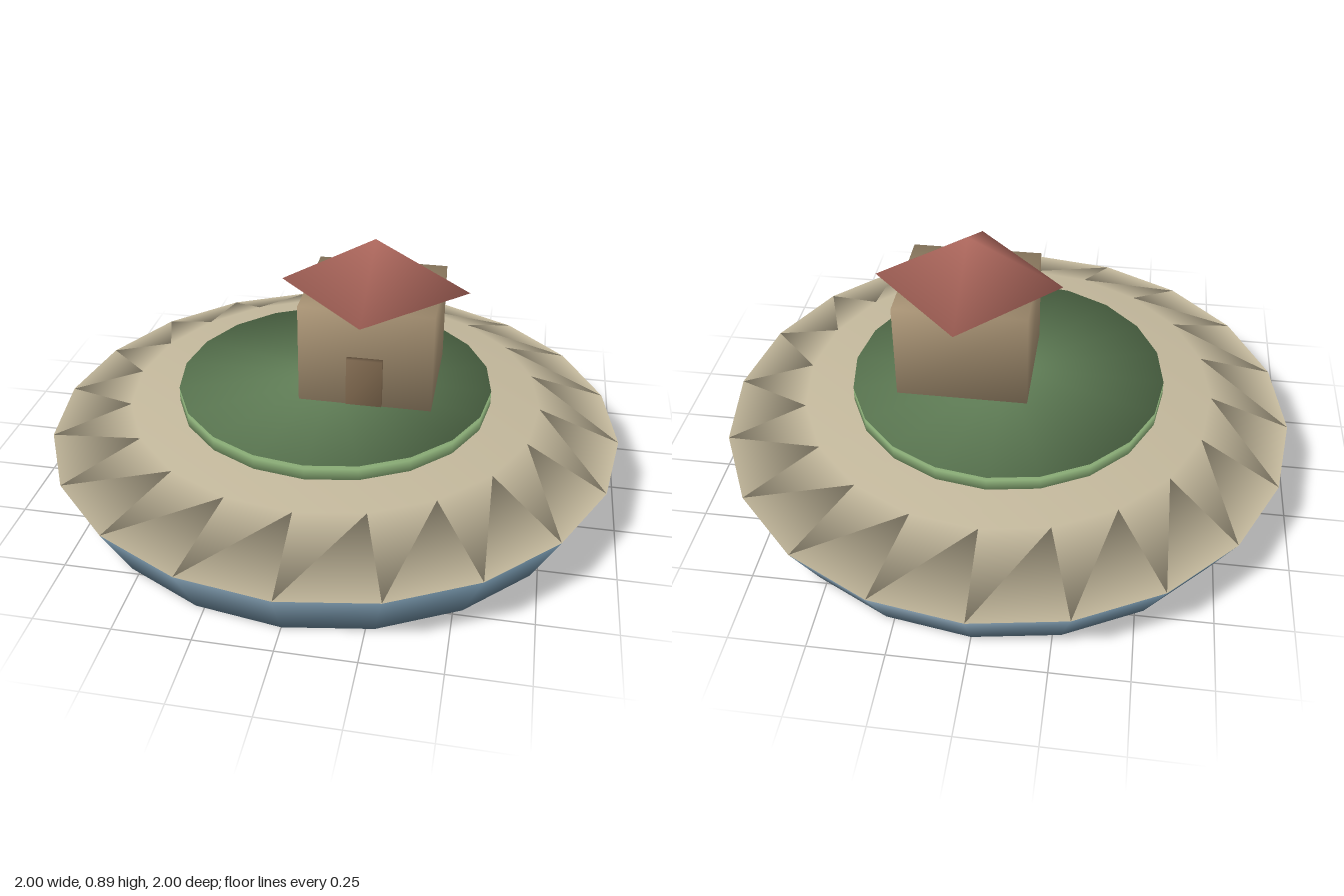
import * as THREE from 'three';
import { mergeVertices } from 'three/addons/utils/BufferGeometryUtils.js';

// Weld the corners so that shading runs smoothly over every edge
function soften(geometry) {
  geometry.deleteAttribute('uv');
  geometry.deleteAttribute('normal');
  const welded = mergeVertices(geometry, 1e-4);
  welded.computeVertexNormals();
  return welded;
}

export function createModel() {
  const group = new THREE.Group();

  function add(name, geometry, color, x, y, z) {
    const material = new THREE.MeshStandardMaterial({ color, side: THREE.DoubleSide });
    const mesh = new THREE.Mesh(soften(geometry), material);
    mesh.name = name;
    mesh.position.set(x, y, z);
    group.add(mesh);
  }

  // Round tier between two heights
  function tier(name, topRadius, bottomRadius, y0, y1, color) {
    const geometry = new THREE.CylinderGeometry(topRadius, bottomRadius, y1 - y0, 20);
    add(name, geometry, color, 0, (y0 + y1) / 2, 0);
  }

  // Island, from the water up to the lawn
  tier('waterBase', 1, 0.9, 0, 0.19, 0x5f7a8c);
  tier('sandBank', 0.72, 1, 0.19, 0.295, 0xc2b79b);
  tier('grassEdge', 0.55, 0.55, 0.29, 0.335, 0x86a873);

  // Thin lawn just above the grass edge
  add('lawn', new THREE.ConeGeometry(0.55, 0.015, 20), 0x64835a, 0, 0.355, 0);

  // Hut, set off to the left of the island's centre
  const hutX = 0.135;
  add('hutWalls', new THREE.BoxGeometry(0.45, 0.35, 0.4), 0xa38e70, hutX, 0.545, 0);
  add('hutDoor', new THREE.BoxGeometry(0.12, 0.17, 0.02), 0x80694f, hutX, 0.465, 0.21);
  add('hutRoof', new THREE.ConeGeometry(0.32, 0.17, 4), 0xb0695e, hutX, 0.805, 0);

  return group;
}
